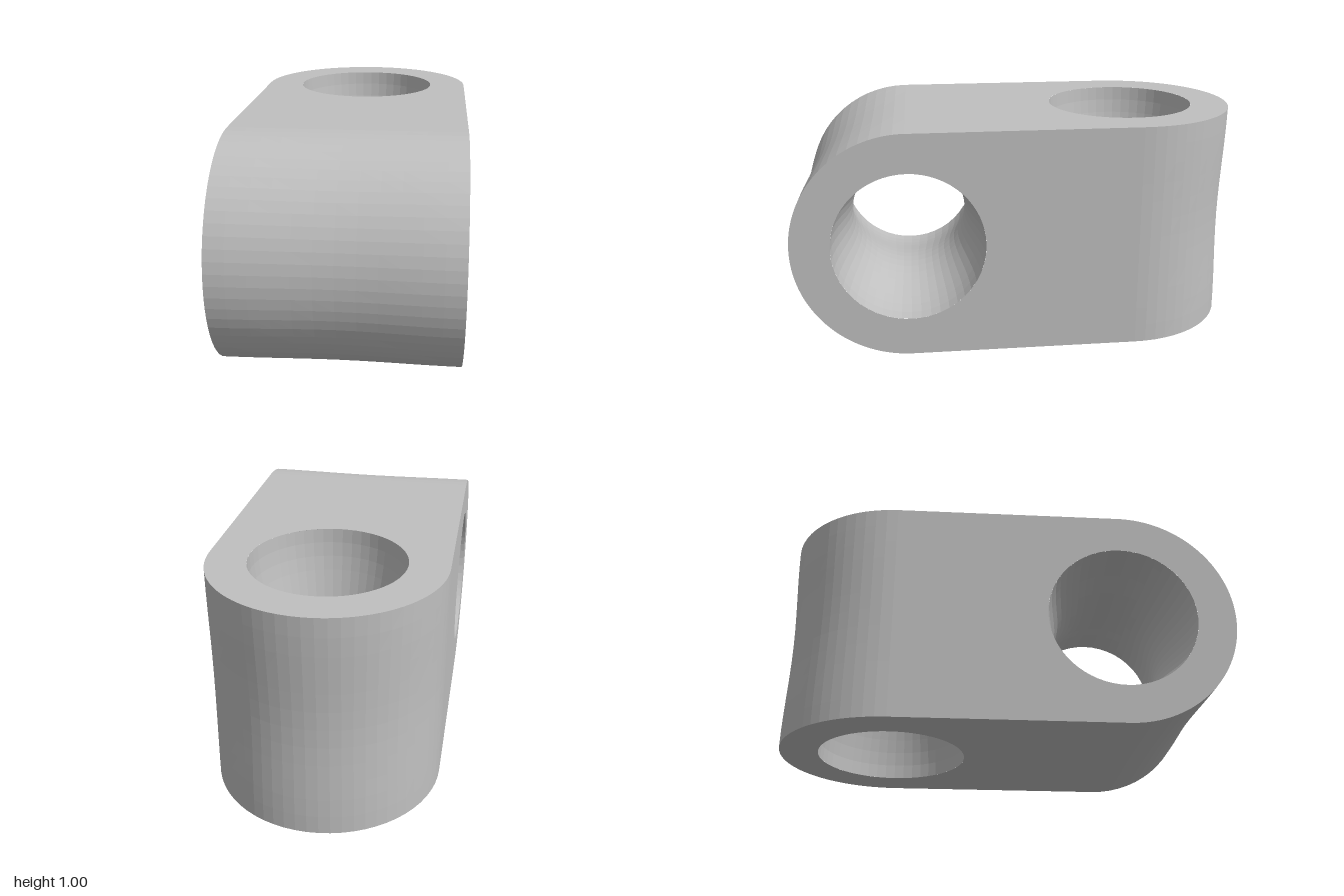
import * as THREE from 'three';

const steel = new THREE.MeshStandardMaterial({ color: 0xc0c0c0 });
steel.name = 'light grey';

const R = 0.5, HOLE = 0.33, NECK = 0.265, HOLLOW = 0.015;

// 1 at mid-depth, 0 at the two flat faces
const middle = (y) => Math.cos(Math.PI * y) ** 2;

function faceted(geometry) {
  const g = geometry.toNonIndexed();
  g.computeVertexNormals();
  return g;
}

function add(group, name, geometry) {
  const mesh = new THREE.Mesh(geometry, steel);
  mesh.name = name;
  group.add(mesh);
}

// One half of the link: two flat faces, a rounded end and a waisted bore along y
function createEye(name) {
  const eye = new THREE.Group();
  eye.name = name;

  // Flat faces with a round hole
  const outline = new THREE.Shape();
  outline.moveTo(-R, -R);
  outline.lineTo(R, -R);
  outline.lineTo(R, R);
  outline.absarc(0, R, R, 0, Math.PI, false);
  outline.closePath();
  const hole = new THREE.Path();
  hole.absarc(0, R, HOLE, 0, Math.PI * 2, true);
  outline.holes.push(hole);
  const face = new THREE.ShapeGeometry(outline, 32);
  face.rotateX(-Math.PI / 2).translate(0, R, 0);
  add(eye, 'flatFace', face);
  add(eye, 'oppositeFace', face.clone().rotateZ(Math.PI));

  // Rounded end, very slightly hollow across its width
  const end = new THREE.CylinderGeometry(R, R, 1, 32, 12, true, Math.PI / 2, Math.PI);
  const p = end.attributes.position;
  for (let i = 0; i < p.count; i++) {
    const x = p.getX(i), y = p.getY(i), z = p.getZ(i);
    const k = 1 - (HOLLOW / R) * middle(y) * Math.abs(z / R);
    p.setXYZ(i, x * k, y, z * k);
  }
  end.translate(0, 0, -R);
  add(eye, 'roundedEnd', faceted(end));

  // Bore narrowing to a neck; profile runs downward so it faces inward
  const profile = [];
  for (let i = 0; i <= 16; i++) {
    const y = 0.5 - i / 16;
    profile.push(new THREE.Vector2(HOLE - (HOLE - NECK) * middle(y), y));
  }
  const bore = new THREE.LatheGeometry(profile, 48);
  bore.translate(0, 0, -R);
  add(eye, 'bore', faceted(bore));

  eye.position.y = R;
  return eye;
}

export function createModel() {
  const model = new THREE.Group();
  model.name = 'crossedLink';

  // Back eye has an upright bore; front eye is turned so its bore runs sideways
  const backEye = createEye('backEye');
  const frontEye = createEye('frontEye');
  frontEye.setRotationFromMatrix(new THREE.Matrix4().makeBasis(
    new THREE.Vector3(0, 1, 0),
    new THREE.Vector3(1, 0, 0),
    new THREE.Vector3(0, 0, -1)
  ));
  model.add(backEye, frontEye);
  return model;
}
